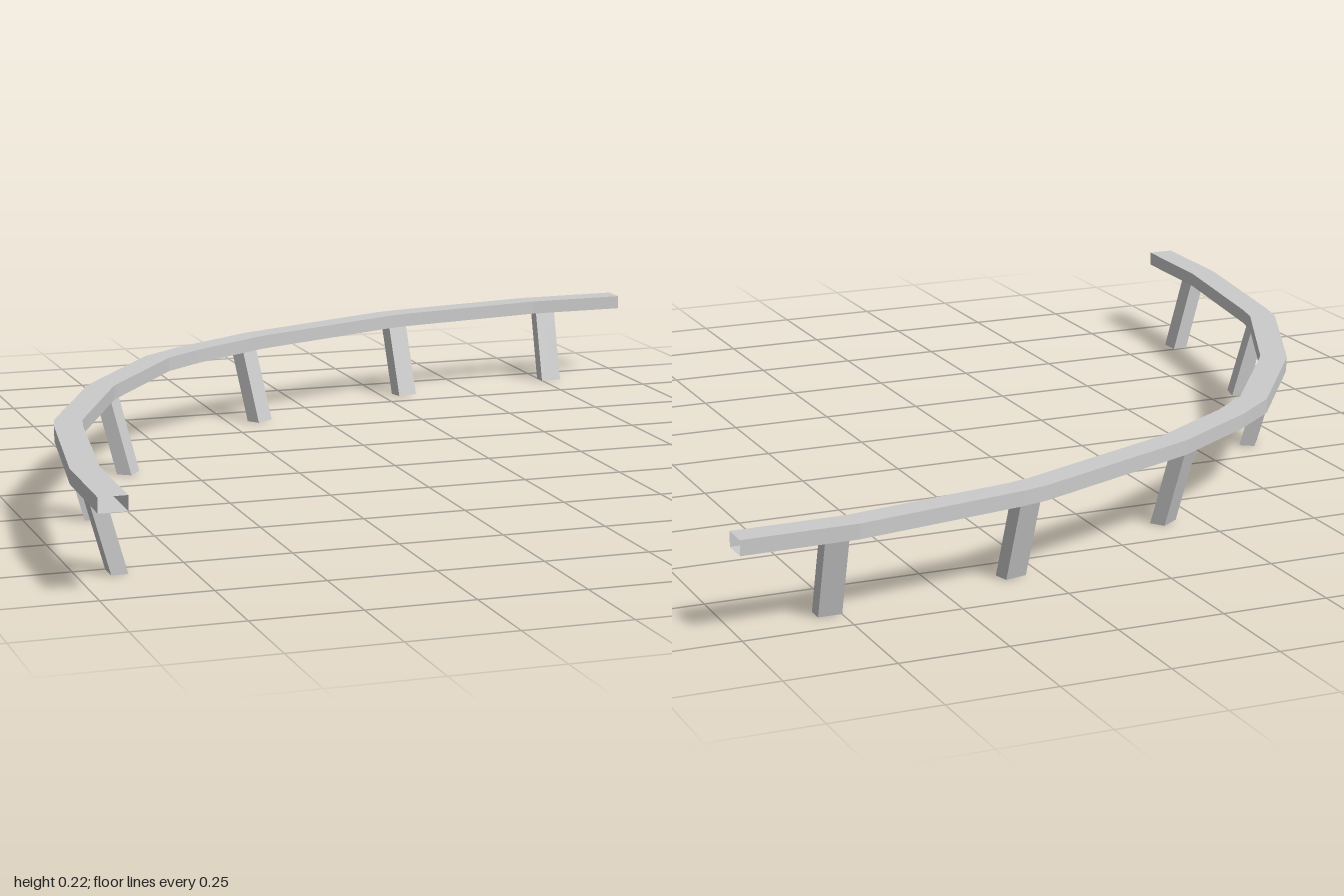
import * as THREE from 'three';

const material = new THREE.MeshStandardMaterial({ color: 0xcccccc, flatShading: true, side: THREE.DoubleSide });
const RAIL_BOTTOM = 0.187, RAIL_TOP = 0.222, RAIL_HALF = 0.033;

// centre line of the rail in plan, as [x, z]
const PATH = [
  [-0.967, 1], [-0.96, 0.72], [-0.896, 0.297], [-0.88, 0.222], [-0.714, -0.144], [-0.698, -0.17],
  [-0.484, -0.468], [-0.377, -0.556], [-0.158, -0.695], [0.27, -0.877], [0.33, -0.893],
  [0.735, -0.963], [1, -0.967],
].map(([x, z]) => new THREE.Vector2(x, z));

// post feet: x, z, and angle of the inward lean about y
const POSTS = [
  [-0.908, 0.78, 90], [-0.84, 0.282, 76], [-0.648, -0.143, 55],
  [-0.163, -0.632, 35], [0.317, -0.84, 14], [0.777, -0.908, 0],
];

// rectangular tube swept along the path with mitred joints and open ends
function railGeometry() {
  const positions = [], index = [];
  const normals = PATH.slice(1).map((p, i) => {
    const d = p.clone().sub(PATH[i]).normalize();
    return new THREE.Vector2(d.y, -d.x); // towards the outside of the bend
  });
  PATH.forEach((p, i) => {
    const a = normals[Math.max(i - 1, 0)];
    const b = normals[Math.min(i, normals.length - 1)];
    const miter = a.clone().add(b).normalize();
    // square the ends to the axes
    if (i === 0) miter.set(-1, 0);
    if (i === PATH.length - 1) miter.set(0, -1);
    miter.multiplyScalar(RAIL_HALF / miter.dot(a));
    for (const [s, y] of [[1, RAIL_BOTTOM], [1, RAIL_TOP], [-1, RAIL_TOP], [-1, RAIL_BOTTOM]]) {
      positions.push(p.x + s * miter.x, y, p.y + s * miter.y);
    }
    if (i === 0) return;
    for (let k = 0; k < 4; k++) {
      const n = (k + 1) % 4, prev = (i - 1) * 4, cur = i * 4;
      index.push(prev + k, prev + n, cur + n, prev + k, cur + n, cur + k);
    }
  });
  const g = new THREE.BufferGeometry();
  g.setAttribute('position', new THREE.Float32BufferAttribute(positions, 3));
  g.setIndex(index);
  const flat = g.toNonIndexed();
  flat.computeVertexNormals();
  return flat;
}

// post with a level foot, sheared so its head meets the rail's centre line
function postGeometry() {
  const h = RAIL_BOTTOM + 0.002, lean = 0.052;
  const g = new THREE.BoxGeometry(0.055, h, 0.038).translate(0, h / 2, 0);
  g.applyMatrix4(new THREE.Matrix4().set(1, 0, 0, 0, 0, 1, 0, 0, 0, -lean / h, 1, 0, 0, 0, 0, 1));
  g.computeVertexNormals();
  return g;
}

export function createModel() {
  const model = new THREE.Group();
  model.name = 'curvedGuardRail';

  const rail = new THREE.Mesh(railGeometry(), material);
  rail.name = 'rail';
  model.add(rail);

  const geometry = postGeometry();
  POSTS.forEach(([x, z, angle], i) => {
    const post = new THREE.Mesh(geometry, material);
    post.name = `post${i + 1}`;
    post.position.set(x, 0, z);
    post.rotation.y = THREE.MathUtils.degToRad(angle);
    model.add(post);
  });
  return model;
}
